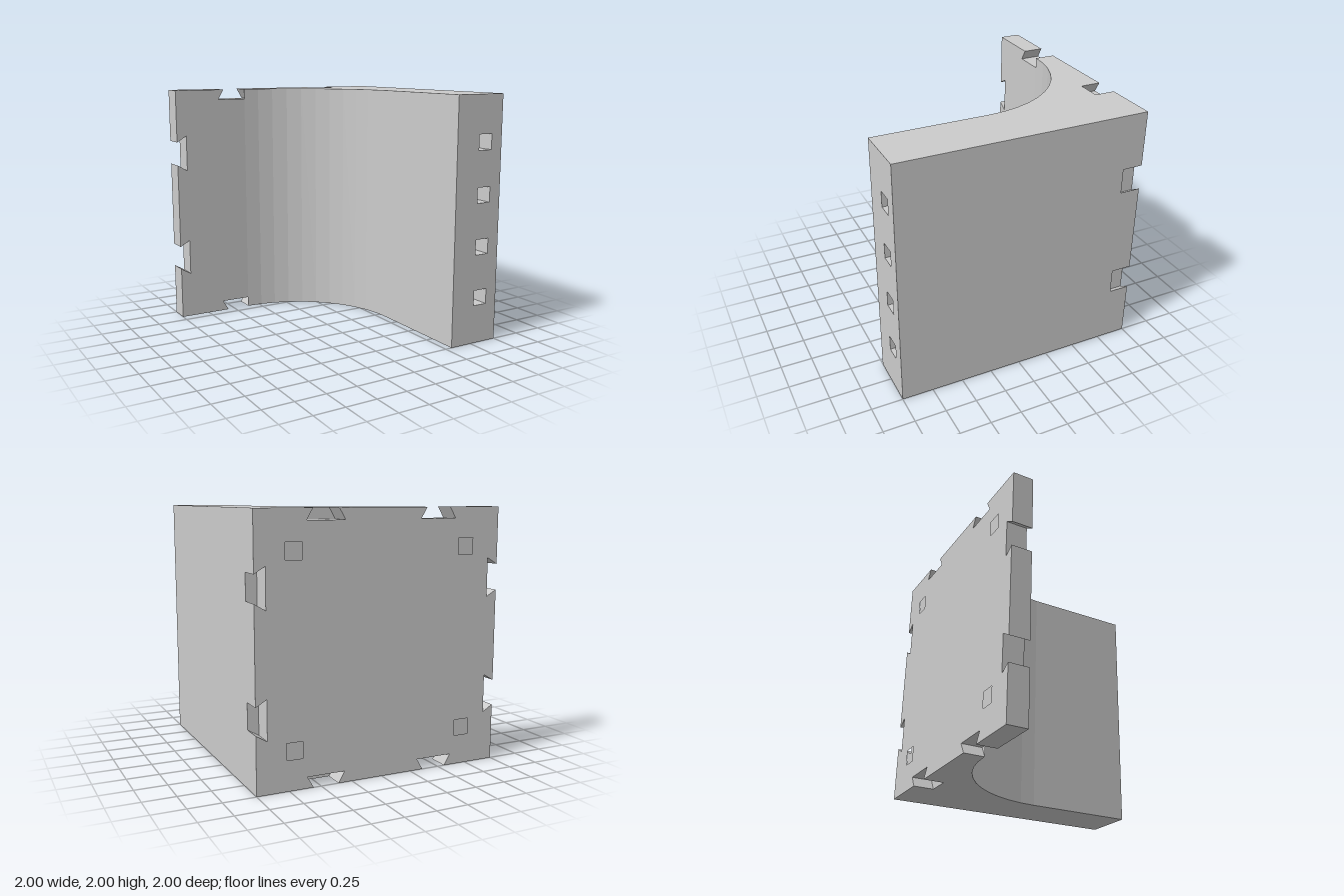
import * as THREE from 'three';

const material = new THREE.MeshStandardMaterial({ color: 0xcccccc, flatShading: true });
const PLATE_FRONT = -0.835, BACK_HOLE_FLOOR = -0.915, FRONT_HOLE_FLOOR = 0.7;

function squareHole(cx, cy, size = 0.125) {
  const h = size / 2;
  return new THREE.Path([[-h, -h], [-h, h], [h, h], [h, -h]]
    .map(([x, y]) => new THREE.Vector2(cx + x, cy + y)));
}

// Square outline with two dovetail notches in each of its four sides
function notchedSquare() {
  const side = [[-1, 1]];
  for (const c of [-0.46, 0.46]) {
    side.push([c - 0.1, 1], [c - 0.15, 0.915], [c + 0.15, 0.915], [c + 0.1, 1]);
  }
  const points = [];
  for (let turn = 0; turn < 4; turn++) {
    for (const [px, py] of side) {
      let x = px, y = py;
      for (let i = 0; i < turn; i++) [x, y] = [y, -x];
      points.push(new THREE.Vector2(x, y + 1));
    }
  }
  return new THREE.Shape(points);
}

// Extrudes an upright x/y shape between two z positions
function slab(name, shape, z0, z1) {
  const geometry = new THREE.ExtrudeGeometry(shape, { depth: z1 - z0, bevelEnabled: false });
  geometry.translate(0, 0, z0);
  const mesh = new THREE.Mesh(geometry, material);
  mesh.name = name;
  return mesh;
}

export function createModel() {
  const group = new THREE.Group();
  group.name = 'filletedCornerBracket';

  // Back plate: an outer layer with four blind square holes, and a solid inner layer
  const skin = notchedSquare();
  for (const x of [-0.707, 0.707]) {
    for (const y of [-0.707, 0.707]) skin.holes.push(squareHole(x, y + 1));
  }
  group.add(slab('backPlateOuter', skin, -1, BACK_HOLE_FLOOR));
  group.add(slab('backPlateInner', notchedSquare(), BACK_HOLE_FLOOR, PLATE_FRONT));

  // Side wall with the concave fillet, as a plan (x, -z) extruded upwards
  const radius = 0.917, cx = -0.36, cz = PLATE_FRONT + radius;
  const plan = [];
  const segments = 11;
  for (let i = 0; i <= segments; i++) {
    const a = (Math.PI / 2) * (1 - i / segments);
    plan.push(new THREE.Vector2(cx + radius * Math.cos(a), -cz + radius * Math.sin(a)));
  }
  const inner = cx + radius;
  plan.push(
    new THREE.Vector2(inner, -FRONT_HOLE_FLOOR),
    new THREE.Vector2(1, -FRONT_HOLE_FLOOR),
    new THREE.Vector2(1, -PLATE_FRONT),
  );
  const wallGeometry = new THREE.ExtrudeGeometry(new THREE.Shape(plan), { depth: 2, bevelEnabled: false });
  wallGeometry.rotateX(-Math.PI / 2);
  const wall = new THREE.Mesh(wallGeometry, material);
  wall.name = 'filletedSideWall';
  group.add(wall);

  // Front end of the wall with a column of four blind square holes
  const end = new THREE.Shape([[inner, 0], [1, 0], [1, 2], [inner, 2]]
    .map(([x, y]) => new THREE.Vector2(x, y)));
  for (let i = 0; i < 4; i++) end.holes.push(squareHole(0.835, 0.378 + i * 0.417));
  group.add(slab('wallFrontEnd', end, FRONT_HOLE_FLOOR, 1));

  return group;
}
